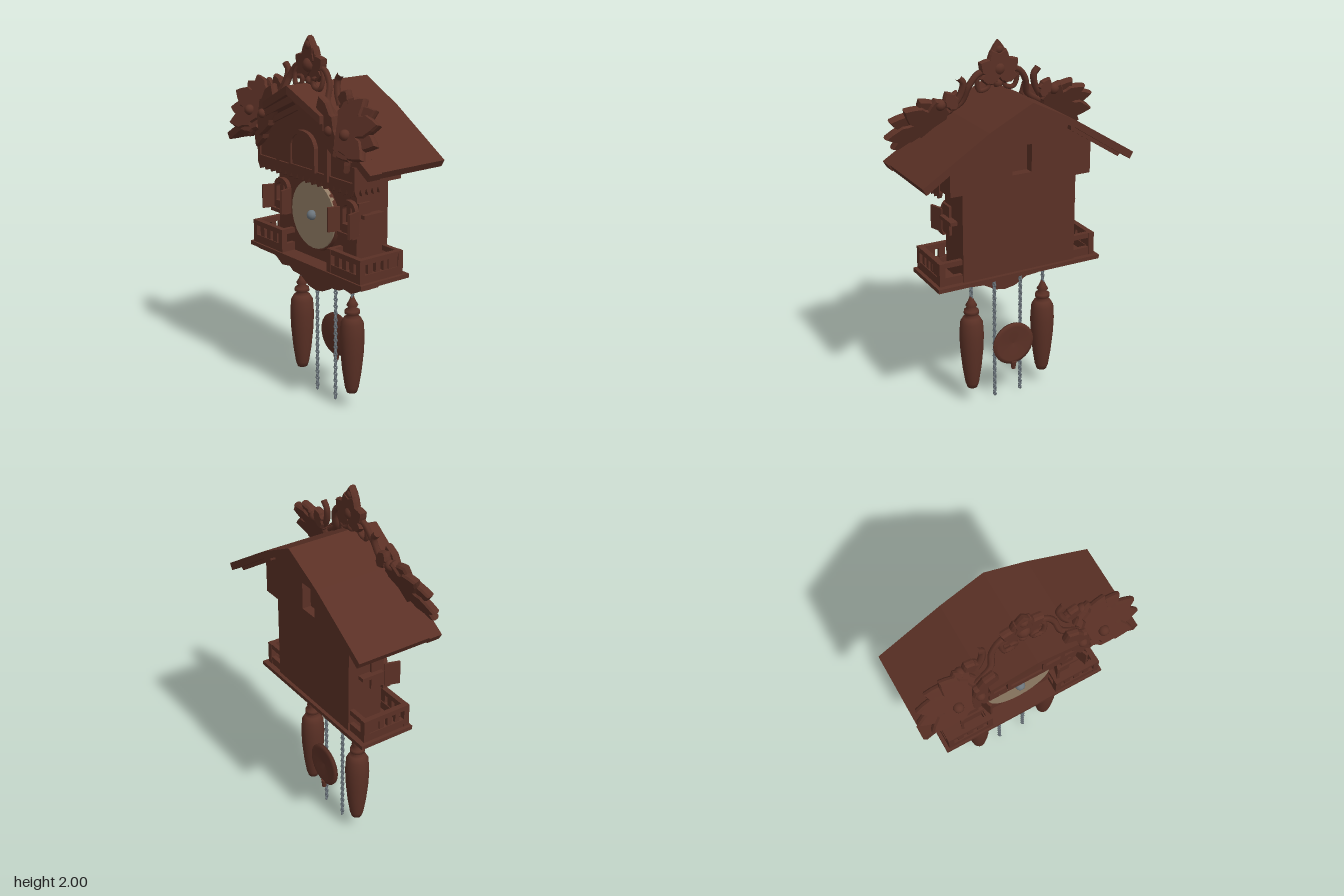
import * as THREE from 'three';

const wood = new THREE.MeshStandardMaterial({ color: 0x5a3025 });
wood.name = 'brownWood';
const cream = new THREE.MeshStandardMaterial({ color: 0x917c65 });
cream.name = 'tanDial';
const metal = new THREE.MeshStandardMaterial({ color: 0x6c757c });
metal.name = 'greyMetal';

export function createModel() {
  const root = new THREE.Group();
  root.name = 'cuckooClock';

  function add(name, geo, mat = wood, parent = root) {
    const m = new THREE.Mesh(geo, mat);
    m.name = name;
    parent.add(m);
    return m;
  }
  function group(name, parent = root) {
    const g = new THREE.Group();
    g.name = name;
    parent.add(g);
    return g;
  }
  // box given by its extents
  function box(name, x0, x1, y0, y1, z0, z1, parent = root) {
    const g = new THREE.BoxGeometry(Math.abs(x1 - x0), y1 - y0, z1 - z0);
    g.translate((x0 + x1) / 2, (y0 + y1) / 2, (z0 + z1) / 2);
    return add(name, g, wood, parent);
  }
  const poly = pts => new THREE.Shape(pts.map(p => new THREE.Vector2(p[0], p[1])));
  const sym = pts => [...pts, ...pts.slice().reverse().filter(p => p[0] !== 0).map(p => [-p[0], p[1]])];
  // outline in x, y pushed from z0 to z1
  function slab(name, shape, z0, z1, parent = root) {
    const g = new THREE.ExtrudeGeometry(shape, { depth: z1 - z0, bevelEnabled: false, curveSegments: 8 });
    g.translate(0, 0, z0);
    return add(name, g, wood, parent);
  }
  // arched outline standing on y0
  function arch(cx, w, y0, y1) {
    const s = new THREE.Shape();
    s.moveTo(cx - w, y0);
    s.lineTo(cx + w, y0);
    s.lineTo(cx + w, y1 - w * 0.7);
    s.quadraticCurveTo(cx + w * 0.8, y1, cx, y1);
    s.quadraticCurveTo(cx - w * 0.8, y1, cx - w, y1 - w * 0.7);
    return s;
  }
  // pointed carved leaf with serrated edges
  function leaf(name, x, y, angle, len, w, z, parent = root) {
    const half = [[0, 0], [0.6, 0.15], [0.75, 0.35], [1, 0.4], [0.8, 0.6], [0.85, 0.7], [0.4, 0.88], [0, 1]];
    const g = new THREE.ExtrudeGeometry(
      poly(sym(half.map(p => [p[0] * w, p[1] * len]).reverse())),
      { depth: 0.016, bevelEnabled: true, bevelSize: 0.006, bevelThickness: 0.012, bevelSegments: 1 });
    const m = add(name, g, wood, parent);
    m.position.set(x, y, z);
    m.rotation.z = angle;
  }
  function ball(name, x, y, z, r, parent = root, mat = wood) {
    add(name, new THREE.SphereGeometry(r, 12, 8), mat, parent).position.set(x, y, z);
  }

  // walls
  box('lowerBody', -0.33, 0.33, 0.81, 1.33, -0.13, 0.075);
  const gable = [[0, 1.72], [0.24, 1.6], [0.405, 1.5], [0.405, 1.3]];
  slab('upperBody', poly(sym(gable)), -0.1, 0.15);
  const back = poly(sym(gable));
  back.holes.push(poly([[-0.055, 1.36], [0.055, 1.36], [0.055, 1.51], [-0.055, 1.51]]));
  slab('backGable', back, -0.15, -0.1);

  // roof: steep middle part reaching forward, and long side eaves
  const ridge = slab('ridgeRoof', poly(sym([[0, 1.76], [0.24, 1.64], [0.24, 1.6], [0, 1.715]])), -0.26, 0.265);
  const rp = ridge.geometry.attributes.position;
  for (let i = 0; i < rp.count; i++)
    if (rp.getZ(i) > 0) rp.setZ(i, rp.getZ(i) - 0.1 * Math.abs(rp.getX(i)));
  ridge.geometry.computeVertexNormals();
  for (const s of [-1, 1]) {
    const P = pts => poly(pts.map(p => [p[0] * s, p[1]]));
    slab('eaveRoof', P([[0.24, 1.64], [0.6, 1.415], [0.58, 1.38], [0.24, 1.6]]), -0.26, 0.15);
    slab('eaveTip', P([[0.42, 1.527], [0.605, 1.412], [0.585, 1.378], [0.42, 1.487]]), 0.15, 0.225);
    slab('gableBoard', P([[0, 1.715], [0.24, 1.6], [0.24, 1.565], [0, 1.675]]), 0.15, 0.225);
    slab('innerGableBoard', P([[0, 1.66], [0.225, 1.555], [0.225, 1.525], [0, 1.63]]), 0.15, 0.195);
    for (const z of [-0.22, 0.1])
      slab('rafter', P([[0.24, 1.605], [0.55, 1.41], [0.53, 1.39], [0.24, 1.575]]), z, z + 0.03);
  }

  // bird door in its framed recess
  const frame = poly(sym([[0, 1.65], [0.215, 1.55], [0.215, 1.29]]));
  frame.holes.push(poly(sym([[0, 1.615], [0.19, 1.525], [0.19, 1.315]])));
  slab('doorSurround', frame, 0.145, 0.175);
  const doorFrame = arch(0, 0.11, 1.315, 1.52);
  doorFrame.holes.push(arch(0, 0.09, 1.33, 1.5));
  slab('doorFrame', doorFrame, 0.145, 0.175);
  slab('birdDoor', arch(0, 0.09, 1.33, 1.5), 0.145, 0.165);

  // zigzag valance below the upper storey
  function zigzag(a, b, n, top, low) {
    const pts = [[b, top], [a, top]];
    for (let i = 0; i < n; i++) {
      const w = (b - a) / n;
      pts.push([a + i * w, low + 0.035], [a + (i + 0.35) * w, low], [a + (i + 0.7) * w, low + 0.008]);
    }
    pts.push([b, low + 0.035]);
    return poly(pts);
  }
  slab('frontValance', zigzag(-0.405, 0.405, 16, 1.32, 1.245), 0.135, 0.162);
  for (const s of [-1, 1]) {
    const v = slab('sideValance', zigzag(-0.16, 0.03, 5, 1.4, 1.25), -0.01, 0.01);
    v.rotation.y = Math.PI / 2;
    v.position.x = s * 0.4;
  }

  // dial with rim and hub
  const rim = add('dialRim', new THREE.CylinderGeometry(0.188, 0.194, 0.02, 24));
  rim.rotation.x = Math.PI / 2;
  rim.position.set(0, 1.055, 0.083);
  const dial = add('dial', new THREE.CylinderGeometry(0.183, 0.188, 0.02, 28), cream);
  dial.rotation.x = Math.PI / 2;
  dial.position.set(0, 1.06, 0.09);
  ball('dialHub', 0, 1.06, 0.108, 0.027, root, metal);

  for (const s of [-1, 1]) {
    // arched windows with open shutters
    const win = group('window');
    const wf = arch(s * 0.285, 0.06, 1.02, 1.2);
    wf.holes.push(arch(s * 0.285, 0.04, 1.04, 1.175));
    slab('windowFrame', wf, 0.07, 0.1, win);
    box('windowBar', s * 0.281, s * 0.289, 1.03, 1.18, 0.07, 0.085, win);
    box('windowSill', s * 0.225, s * 0.35, 1.01, 1.03, 0.07, 0.12, win);
    box('flowerBox', s * 0.25, s * 0.32, 1.03, 1.075, 0.075, 0.11, win);
    for (const d of [-1, 1]) {
      const sh = box('shutter', -0.007, 0.007, 1.025, 1.155, 0, 0.085, win);
      sh.position.set(s * 0.285 + d * 0.06, 0, 0.08);
      sh.rotation.y = d * 0.3;
    }
    // side trim
    box('sideFrame', s * 0.33, s * 0.345, 1.03, 1.19, 0, 0.075);
    box('sideLedge', s * 0.33, s * 0.37, 1.11, 1.13, -0.07, 0.06);

    // balcony
    const bal = group('balcony');
    for (const [y0, y1] of [[0.812, 0.856], [0.91, 0.938]]) {
      box('frontRail', s * 0.195, s * 0.46, y0, y1, 0.13, 0.16, bal);
      box('outerRail', s * 0.43, s * 0.46, y0, y1, -0.12, 0.16, bal);
      box('innerRail', s * 0.195, s * 0.22, y0, y1, 0.07, 0.16, bal);
      box('backRail', s * 0.33, s * 0.46, y0, y1, -0.12, -0.095, bal);
    }
    for (const [x, z] of [[0.445, 0.145], [0.21, 0.145], [0.445, -0.107]])
      box('post', s * (x - 0.016), s * (x + 0.016), 0.81, 0.938, z - 0.016, z + 0.016, bal);
    for (let i = 0; i < 3; i++) {
      const x = 0.268 + i * 0.059;
      box('frontBaluster', s * (x - 0.017), s * (x + 0.017), 0.85, 0.915, 0.135, 0.155, bal);
      const z = -0.01 + i * 0.05;
      box('sideBaluster', s * 0.435, s * 0.455, 0.85, 0.915, z - 0.014, z + 0.014, bal);
    }
    box('sidePanel', s * 0.435, s * 0.455, 0.85, 0.915, -0.1, -0.03, bal);

    // carved foliage on the roof front, its lower edge tipped forward
    const fan = group('leafFan');
    fan.position.set(s * 0.31, 1.57, 0.165);
    fan.rotation.x = -0.4;
    const tips = [[0.05, 0.17], [0.13, 0.17], [0.21, 0.13], [0.275, 0.065], [0.29, -0.03], [0.24, -0.11], [0.14, -0.13]];
    tips.forEach(([x, y], i) =>
      leaf('leaf', 0, 0, -s * Math.atan2(x, y), Math.hypot(x, y), 0.06, 0.012 * (i % 2), fan));
    const fol = group('foliage');
    leaf('hangingLeaf', s * 0.2, 1.73, s * (0.38 - Math.PI), 0.3, 0.062, 0.19, fol);
    leaf('innerLeaf', s * 0.28, 1.6, -s * 2.75, 0.24, 0.045, 0.17, fol);
    for (const [x, y, z, r] of [[0.33, 1.7, 0.11, 0.03], [0.28, 1.57, 0.215, 0.026], [0.4, 1.57, 0.215, 0.028]])
      ball('berry', s * x, y, z, r, fol);
    // scrolls joining the foliage to the crest
    const tube = (name, pts, r) => add(name, new THREE.TubeGeometry(new THREE.CatmullRomCurve3(
      pts.map(p => new THREE.Vector3(s * p[0], p[1], p[2]))), 24, r, 6), wood, fol);
    tube('longScroll', [[0.05, 1.85, 0.11], [0.12, 1.83, 0.11], [0.165, 1.77, 0.12], [0.19, 1.69, 0.15], [0.28, 1.63, 0.17]], 0.017);
    tube('outerScroll', [[0.23, 1.83, 0.1], [0.205, 1.8, 0.1], [0.215, 1.74, 0.11], [0.25, 1.68, 0.12]], 0.018);
    tube('innerScroll', [[0.08, 1.85, 0.11], [0.115, 1.8, 0.12], [0.1, 1.74, 0.13], [0.05, 1.75, 0.13], [0.045, 1.785, 0.13], [0.075, 1.785, 0.13]], 0.013);
    leaf('scrollLeaf', s * 0.25, 1.67, -s * 0.5, 0.1, 0.035, 0.1, fol);
    leaf('crestLeaf', 0, 1.82, -s * 1.0, 0.125, 0.045, 0.1, fol);
    leaf('crestLeaf', 0, 1.81, -s * 1.6, 0.1, 0.035, 0.1, fol);
    leaf('crestLeaf', 0, 1.85, -s * 0.4, 0.1, 0.035, 0.1, fol);
  }
  // crest
  leaf('crestTip', 0, 1.8, 0, 0.19, 0.045, 0.105);
  for (const [x, y, r] of [[0, 1.995 - 0.045, 0.03], [0, 1.85, 0.04], [0, 1.77, 0.025]])
    ball('crestBoss', x, y, 0.115, r);

  // floor plate and carved apron below it
  box('floorPlate', -0.48, 0.48, 0.79, 0.812, -0.15, 0.17);
  box('floorMoulding', -0.45, 0.45, 0.77, 0.79, 0.03, 0.14);
  slab('apron', poly(sym([[0, 0.635], [0.06, 0.645], [0.13, 0.685], [0.2, 0.69], [0.23, 0.71], [0.3, 0.70],
    [0.35, 0.73], [0.41, 0.75], [0.45, 0.79]])), 0.035, 0.085);
  slab('apronCarving', poly(sym([[0, 0.66], [0.1, 0.70], [0.2, 0.73], [0.3, 0.74], [0.38, 0.775]])), 0.085, 0.105);

  // chains of stout alternating links
  function chain(x, y0, y1) {
    const g = group('chain');
    const n = Math.round((y1 - y0) / 0.02);
    const step = (y1 - y0 - 0.028) / (n - 1);
    for (let i = 0; i < n; i++) {
      const l = add('link', new THREE.TorusGeometry(0.0075, 0.0055, 6, 8), metal, g);
      l.scale.y = 0.014 / 0.013;
      l.position.set(x, y0 + 0.014 + i * step, 0.01);
      l.rotation.y = i % 2 ? 0.5 : 0.5 + Math.PI / 2;
    }
  }
  // cone weights and their chains
  const profile = [[0, 0.095], [0.028, 0.1], [0.038, 0.13], [0.052, 0.22], [0.063, 0.33], [0.067, 0.42], [0.062, 0.5],
    [0.045, 0.53], [0.025, 0.54], [0.042, 0.555], [0.04, 0.572], [0.02, 0.585], [0.032, 0.6], [0.02, 0.62], [0.008, 0.65], [0, 0.65]];
  for (const s of [-1, 1]) {
    const w = add('coneWeight', new THREE.LatheGeometry(profile.map(p => new THREE.Vector2(...p)), 16));
    w.position.set(s * 0.22, 0, 0.01);
    chain(s * 0.22, 0.63, 0.8);
    chain(s * 0.08, 0, 0.8);
  }

  // pendulum disc
  const bob = add('pendulumBob', new THREE.LatheGeometry([[0, -0.002], [0.1, -0.014], [0.122, -0.008], [0.12, 0.006],
    [0.07, 0.014], [0, 0.018]].map(p => new THREE.Vector2(...p)), 28));
  bob.rotation.x = Math.PI / 2;
  bob.position.set(0, 0.345, -0.055);
  const nut = add('pendulumNut', new THREE.CylinderGeometry(0.018, 0.012, 0.045, 8));
  nut.position.set(0, 0.212, -0.06);

  return root;
}
